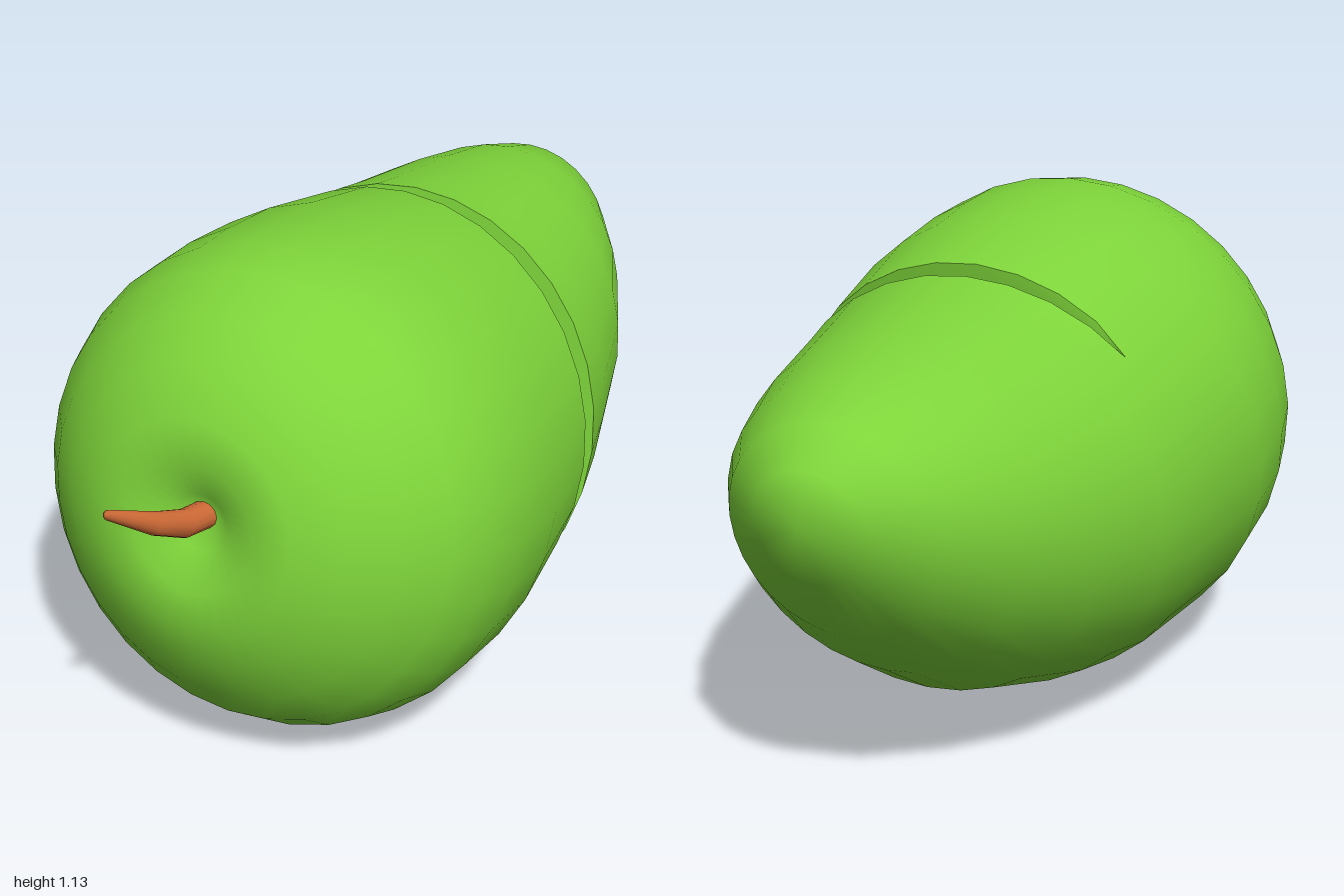
import * as THREE from 'three';
import { mergeVertices } from 'three/addons/utils/BufferGeometryUtils.js';

const SIDES = 32;

// Point on a circular cross-section [x, y, z, radius, tilt] at step k
function ringPoint([x, y, z, r, tilt], k, sides) {
  const a = (k / sides) * Math.PI * 2;
  const dy = r * Math.sin(a);
  return new THREE.Vector3(x + r * Math.cos(a), y + dy, z + tilt * dy);
}

// Skin rows of points; closed rows wrap round, a skipped row leaves a gap
function skin(rows, closed, skipRow = -1) {
  const n = rows[0].length;
  const index = [];
  for (let i = 0; i < rows.length - 1; i++) {
    if (i === skipRow) continue;
    for (let k = 0; k < (closed ? n : n - 1); k++) {
      const a = i * n + k, b = i * n + (k + 1) % n;
      index.push(a, a + n, b, b, a + n, b + n);
    }
  }
  let geo = new THREE.BufferGeometry().setFromPoints(rows.flat());
  geo.setIndex(index);
  geo = mergeVertices(geo, 1e-5);
  geo.computeVertexNormals();
  return geo;
}

const circle = (ring, sides) =>
  Array.from({ length: sides }, (_, k) => ringPoint(ring, k, sides));

// Width of the crescent cut: opens at step -10, closes at step 12
const CUT_START = -10, CUT_END = 12;
function cutWidth(k) {
  const t = (k - CUT_START) / (CUT_END - CUT_START);
  if (t <= 0.001 || t >= 0.999) return 0;
  return 0.074 * Math.pow(Math.sin(Math.PI * t), 0.6) * (0.75 + 0.5 * t);
}

export function createModel() {
  const group = new THREE.Group();
  const skinMat = new THREE.MeshStandardMaterial({ color: 0x7ed43a });
  const cutMat = new THREE.MeshStandardMaterial({ color: 0x7ed43a, side: THREE.DoubleSide });
  const stemMat = new THREE.MeshStandardMaterial({ color: 0xd9703a });
  const add = (name, geo, mat) => {
    const mesh = new THREE.Mesh(geo, mat);
    mesh.name = name;
    group.add(mesh);
  };

  // Fruit sections from the stem dimple to the fullest part
  const front = [
    [0, 0.67, 0.69, 0, 0],
    [0, 0.67, 0.725, 0.06, -0.18],
    [0, 0.672, 0.76, 0.14, -0.18],
    [0, 0.675, 0.76, 0.225, -0.18],
    [0, 0.665, 0.71, 0.325, -0.18],
    [0, 0.65, 0.645, 0.41, -0.18],
    [0, 0.63, 0.555, 0.485, -0.2],
    [0, 0.605, 0.465, 0.528, -0.2],
    [0, 0.577, 0.35, 0.549, -0.22],
    [0, 0.553, 0.18, 0.552, -0.22],
  ];
  const cutRing = [0, 0.53, -0.13, 0.508, -0.21];
  // Sections from the cut to the narrow tip
  const rear = [
    [0, 0.54, -0.265, 0.478, -0.16],
    [0, 0.572, -0.515, 0.412, -0.155],
    [0, 0.62, -0.7, 0.332, -0.15],
    [0, 0.67, -0.855, 0.236, -0.15],
    [0, 0.715, -0.955, 0.123, -0.12],
    [0, 0.73, -1, 0, 0],
  ];

  // The front lip slides along the skin by the width of the cut
  const fullest = front[front.length - 1];
  const lipPoint = (k) => ringPoint(cutRing, k, SIDES)
    .lerp(ringPoint(fullest, k, SIDES), cutWidth(k) / 0.31);
  const frontLip = Array.from({ length: SIDES }, (_, k) =>
    lipPoint(k > CUT_END ? k - SIDES : k));

  const rows = [
    ...front.map((r) => circle(r, SIDES)),
    frontLip,
    circle(cutRing, SIDES),
    ...rear.map((r) => circle(r, SIDES)),
  ];
  add('fruitBody', skin(rows, true, front.length), skinMat);

  // Two inner walls of the cut, running from the lips to a straight hinge line
  const hingeA = ringPoint(cutRing, CUT_START, SIDES);
  const hingeB = ringPoint(cutRing, CUT_END, SIDES);
  const lip = [], hinge = [], back = [];
  for (let k = CUT_START; k <= CUT_END; k++) {
    const t = (k - CUT_START) / (CUT_END - CUT_START);
    lip.push(lipPoint(k));
    hinge.push(hingeA.clone().lerp(hingeB, (1 - Math.cos(Math.PI * t)) / 2));
    back.push(ringPoint(cutRing, k, SIDES));
  }
  add('cutFrontWall', skin([lip, hinge], false), cutMat);
  add('cutBackWall', skin([hinge, back], false), cutMat);

  // Tapered, slightly bent stem
  const stem = [
    [-0.035, 0.832, 1, 0, 0],
    [-0.035, 0.828, 0.995, 0.009, -0.5],
    [-0.014, 0.745, 0.87, 0.022, -0.5],
    [-0.005, 0.697, 0.78, 0.028, -0.4],
    [-0.004, 0.67, 0.68, 0.03, -0.2],
  ];
  add('stem', skin(stem.map((r) => circle(r, 12)), true), stemMat);

  return group;
}
